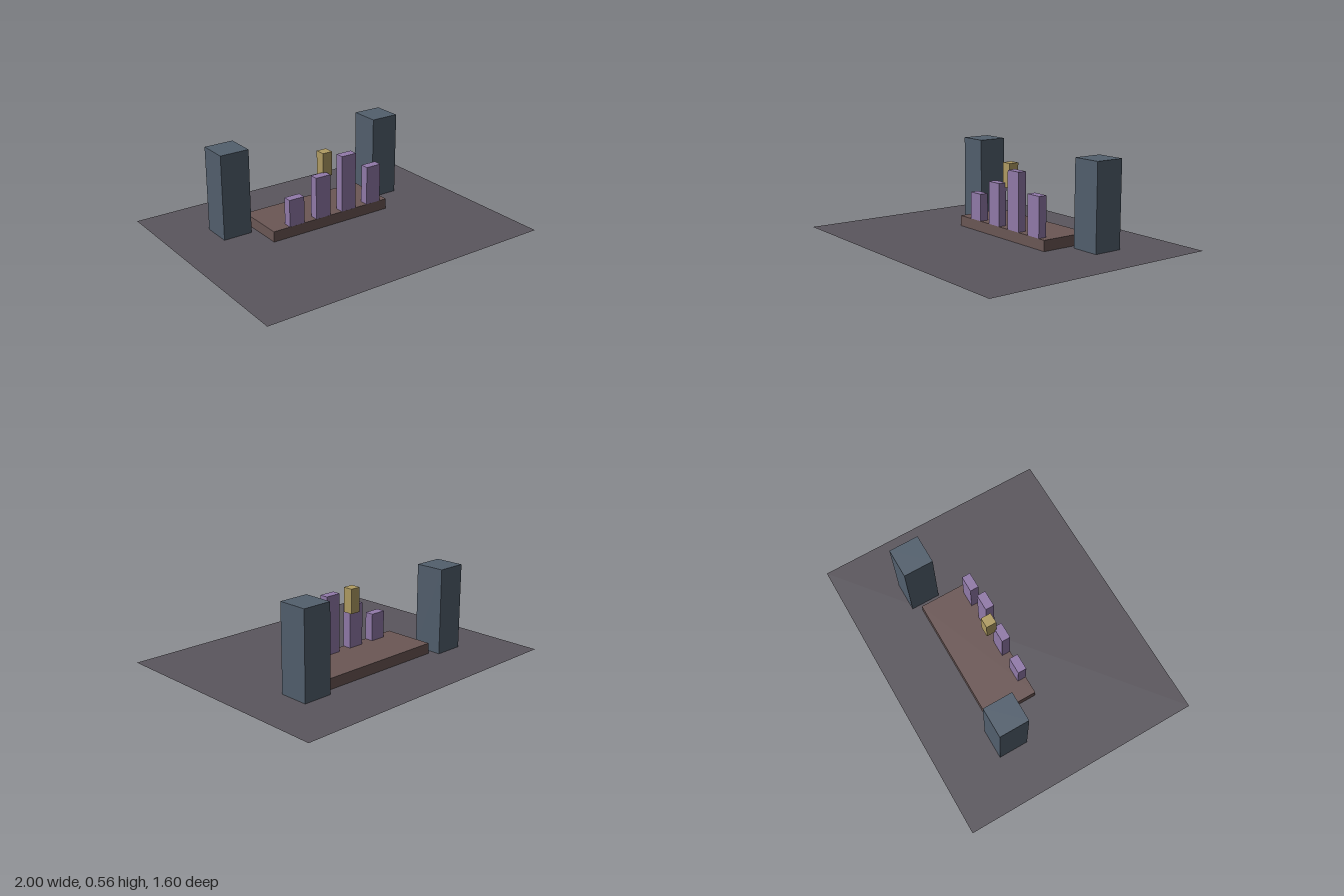
import * as THREE from 'three';

export function createModel() {
  const group = new THREE.Group();
  const mat = (color) => new THREE.MeshStandardMaterial({ color });

  // Box given by its centre in x and z, and its bottom in y
  function block(name, material, [w, h, d], [x, y, z]) {
    const mesh = new THREE.Mesh(new THREE.BoxGeometry(w, h, d), material);
    mesh.name = name;
    mesh.position.set(x, y + h / 2, z);
    group.add(mesh);
  }

  // Thin floor sheet
  const floorMaterial = mat(0x5a565d);
  floorMaterial.side = THREE.DoubleSide;
  const floor = new THREE.Mesh(new THREE.PlaneGeometry(2, 1.6).rotateX(-Math.PI / 2), floorMaterial);
  floor.name = 'floor';
  group.add(floor);

  // Low platform
  block('platform', mat(0x6b5755), [0.88, 0.07, 0.345], [0, 0, -0.193]);

  // Pair of pillars beside the platform
  const pillarMaterial = mat(0x525f6d);
  for (const side of [-1, 1]) {
    block(side > 0 ? 'leftPillar' : 'rightPillar', pillarMaterial, [0.196, 0.56, 0.197], [side * 0.58, 0, -0.32]);
  }

  // Row of upright bars along the platform's front edge
  const barMaterial = mat(0x917aa9);
  [0.25, 0.35, 0.45, 0.33].forEach((top, i) => {
    block(`bar${i + 1}`, barMaterial, [0.109, top - 0.07, 0.058], [-0.267 + i * 0.2, 0.07, -0.05]);
  });

  // Small block hovering behind the bars
  block('floatingBlock', mat(0xb09c63), [0.07, 0.16, 0.068], [0, 0.32, -0.104]);

  return group;
}
